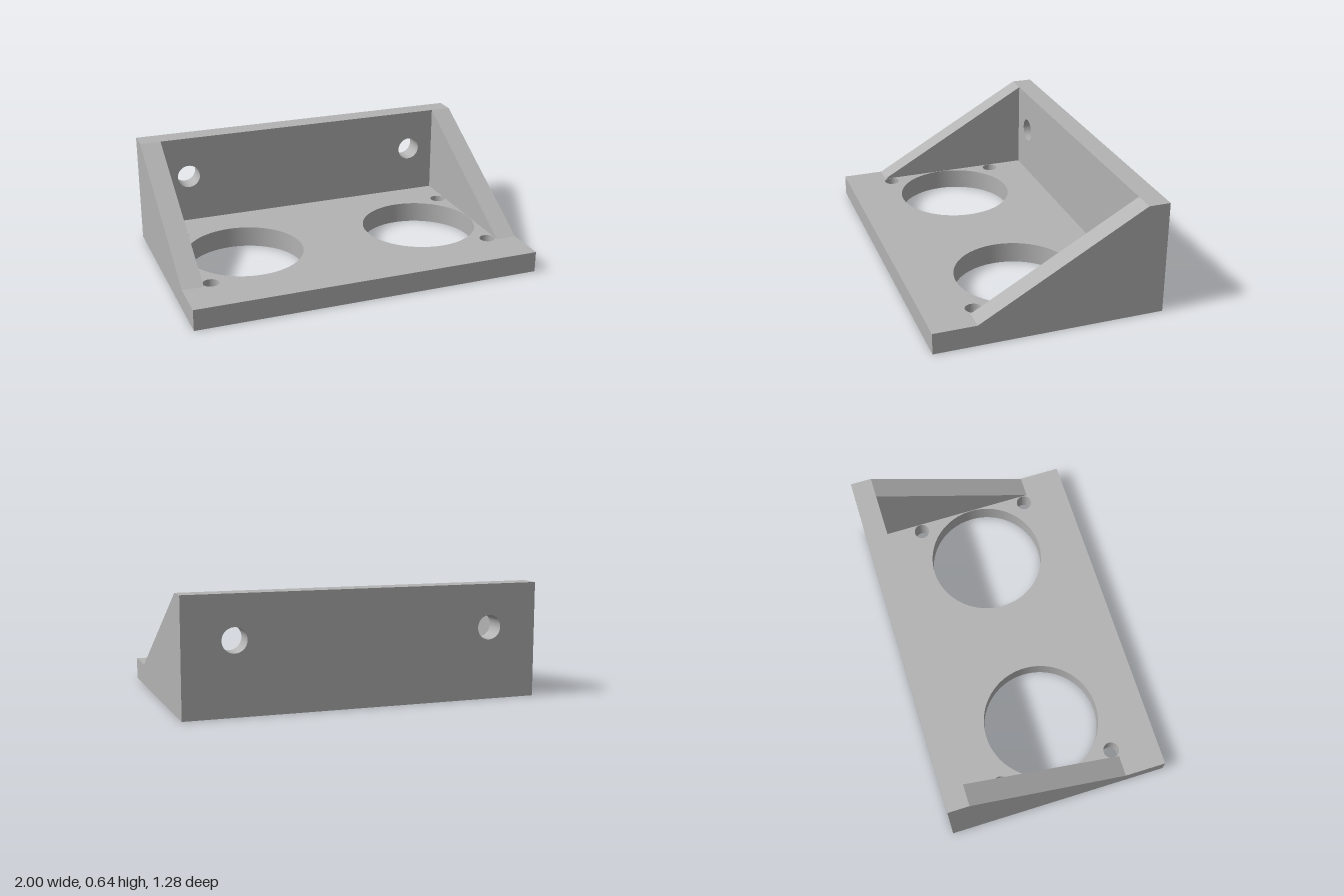
import * as THREE from 'three';
import { toCreasedNormals } from 'three/addons/utils/BufferGeometryUtils.js';

const WIDTH = 2, DEPTH = 1.28, HEIGHT = 0.64, WALL = 0.12;

// Rectangle outline with round holes given as [x, y, radius]
function plateShape(x0, y0, x1, y1, holes) {
  const shape = new THREE.Shape();
  shape.moveTo(x0, y0).lineTo(x1, y0).lineTo(x1, y1).lineTo(x0, y1).closePath();
  for (const [x, y, r] of holes) {
    shape.holes.push(new THREE.Path().absarc(x, y, r, 0, Math.PI * 2, true));
  }
  return shape;
}

function extrude(shape) {
  return new THREE.ExtrudeGeometry(shape, { depth: WALL, bevelEnabled: false, curveSegments: 64 });
}

export function createModel() {
  const group = new THREE.Group();
  const grey = new THREE.MeshStandardMaterial({ color: 0xb3b3b3 });
  grey.name = 'grey';

  function add(name, geometry) {
    const mesh = new THREE.Mesh(toCreasedNormals(geometry, 0.6), grey);
    mesh.name = name;
    group.add(mesh);
  }

  // Base plate with two large openings and four screw holes
  const baseHoles = [];
  for (const side of [-1, 1]) {
    baseHoles.push([side * 0.543, -0.035, 0.334]);
    for (const z of [-0.298, 0.368]) baseHoles.push([side * 0.833, -z, 0.045]);
  }
  const base = extrude(plateShape(-WIDTH / 2, -DEPTH / 2, WIDTH / 2, DEPTH / 2, baseHoles));
  add('basePlate', base.rotateX(-Math.PI / 2));

  // Back wall with two mounting holes
  const wallHoles = [-1, 1].map((side) => [side * 0.721, 0.4, 0.068]);
  const wall = extrude(plateShape(-WIDTH / 2, WALL, WIDTH / 2, HEIGHT, wallHoles));
  add('backWall', wall.translate(0, 0, -DEPTH / 2));

  // Triangular side gussets
  const profile = new THREE.Shape();
  profile.moveTo(-0.4, WALL).lineTo(0.52, WALL).lineTo(0.52, HEIGHT).closePath();
  for (const [name, x] of [['leftGusset', WIDTH / 2 - WALL], ['rightGusset', -WIDTH / 2]]) {
    add(name, extrude(profile).rotateY(Math.PI / 2).translate(x, 0, 0));
  }

  return group;
}
